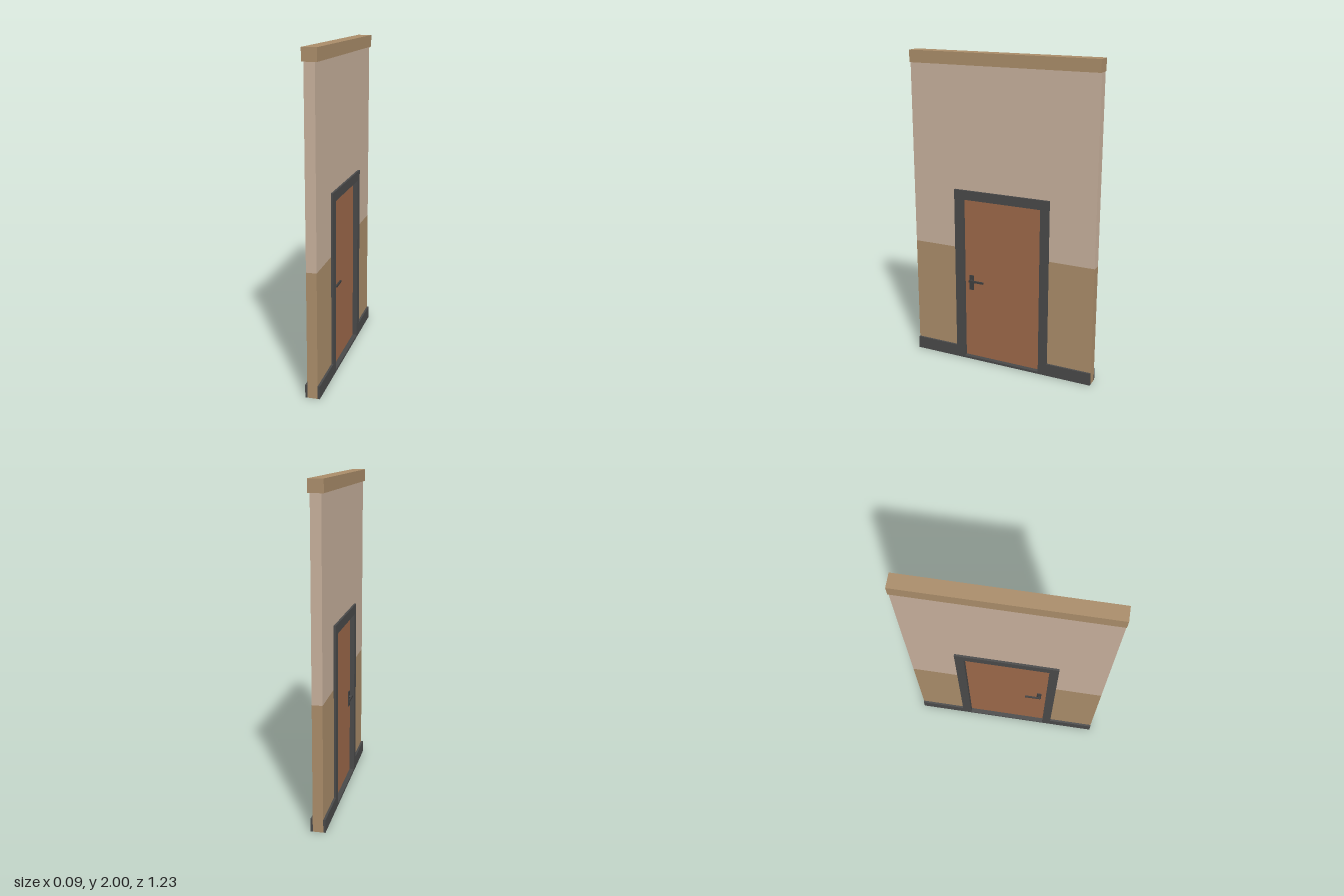
import * as THREE from 'three';

const mat = (name, color) => {
  const m = new THREE.MeshStandardMaterial({ color });
  m.name = name;
  return m;
};

export function createModel() {
  const plaster = mat('upper plaster', 0xc6af9b);
  const tan = mat('tan paint', 0xa98c69);
  const trim = mat('grey trim', 0x494949);
  const wood = mat('door wood', 0x9c6849);
  const metal = mat('handle metal', 0x3e3e3e);

  const root = new THREE.Group();
  root.name = 'wallWithDoor';

  const add = (parent, name, geometry, material) => {
    const mesh = new THREE.Mesh(geometry, material);
    mesh.name = name;
    parent.add(mesh);
    return mesh;
  };
  // Box given by its limits on each axis
  const box = (parent, name, material, [x0, x1], [y0, y1], [z0, z1]) => {
    const mesh = add(parent, name, new THREE.BoxGeometry(x1 - x0, y1 - y0, z1 - z0), material);
    mesh.position.set((x0 + x1) / 2, (y0 + y1) / 2, (z0 + z1) / 2);
    return mesh;
  };
  // Outline across the wall's length, extruded through its thickness
  const slab = (name, material, shape, thickness) => {
    const g = new THREE.ExtrudeGeometry(shape, { depth: thickness, bevelEnabled: false });
    g.translate(0, 0, -thickness / 2).rotateY(Math.PI / 2);
    return add(root, name, g, material);
  };
  const outline = (pts) => pts.map(([a, b]) => new THREE.Vector2(a, b));

  const L = 0.613, T = 0.031, P = 0.044; // half length, half thickness, half trim depth
  const F = 0.32, FT = 1.155, D = 0.263, DT = 1.095; // frame and door opening
  const split = 0.77, base = 0.08;

  // Upper wall, notched around the door frame
  slab('upperWall', plaster, new THREE.Shape(outline([
    [-L, split], [-F, split], [-F, FT], [F, FT], [F, split], [L, split], [L, 1.925], [-L, 1.925],
  ])), T * 2);
  box(root, 'topCap', tan, [-P, P], [1.925, 2], [-L, L]);

  // Lower wall and skirting on both sides of the door
  for (const s of [-1, 1]) {
    const z = s > 0 ? [F, L] : [-L, -F];
    box(root, 'lowerWall', tan, [-T, T], [0, split], z);
    box(root, 'skirting', trim, [T, P], [0, base], z);
    box(root, 'skirting', trim, [-P, -T], [0, base], z);
  }

  // Door frame with threshold
  const frame = new THREE.Shape(outline([[-F, 0], [F, 0], [F, FT], [-F, FT]]));
  frame.holes.push(new THREE.Path(outline([[-D, 0.015], [-D, DT], [D, DT], [D, 0.015]])));
  slab('doorFrame', trim, frame, P * 2);

  // Door leaf
  box(root, 'door', wood, [-0.015, 0.015], [0.015, DT], [-D, D]);

  // Handle on each face
  for (const s of [-1, 1]) {
    const handle = new THREE.Group();
    handle.name = 'doorHandle';
    root.add(handle);
    const span = (a, b) => (s > 0 ? [a, b] : [-b, -a]);
    box(handle, 'handlePlate', metal, span(0.015, 0.021), [0.485, 0.585], [0.202, 0.232]);
    const stem = add(handle, 'handleStem', new THREE.CylinderGeometry(0.008, 0.008, 0.02, 12), metal);
    stem.rotation.z = Math.PI / 2;
    stem.position.set(s * 0.03, 0.55, 0.217);
    box(handle, 'handleLever', metal, span(0.032, 0.042), [0.544, 0.556], [0.125, 0.228]);
    const lock = add(handle, 'lockCylinder', new THREE.CylinderGeometry(0.006, 0.006, 0.004, 12), metal);
    lock.rotation.z = Math.PI / 2;
    lock.position.set(s * 0.022, 0.51, 0.217);
  }

  return root;
}
